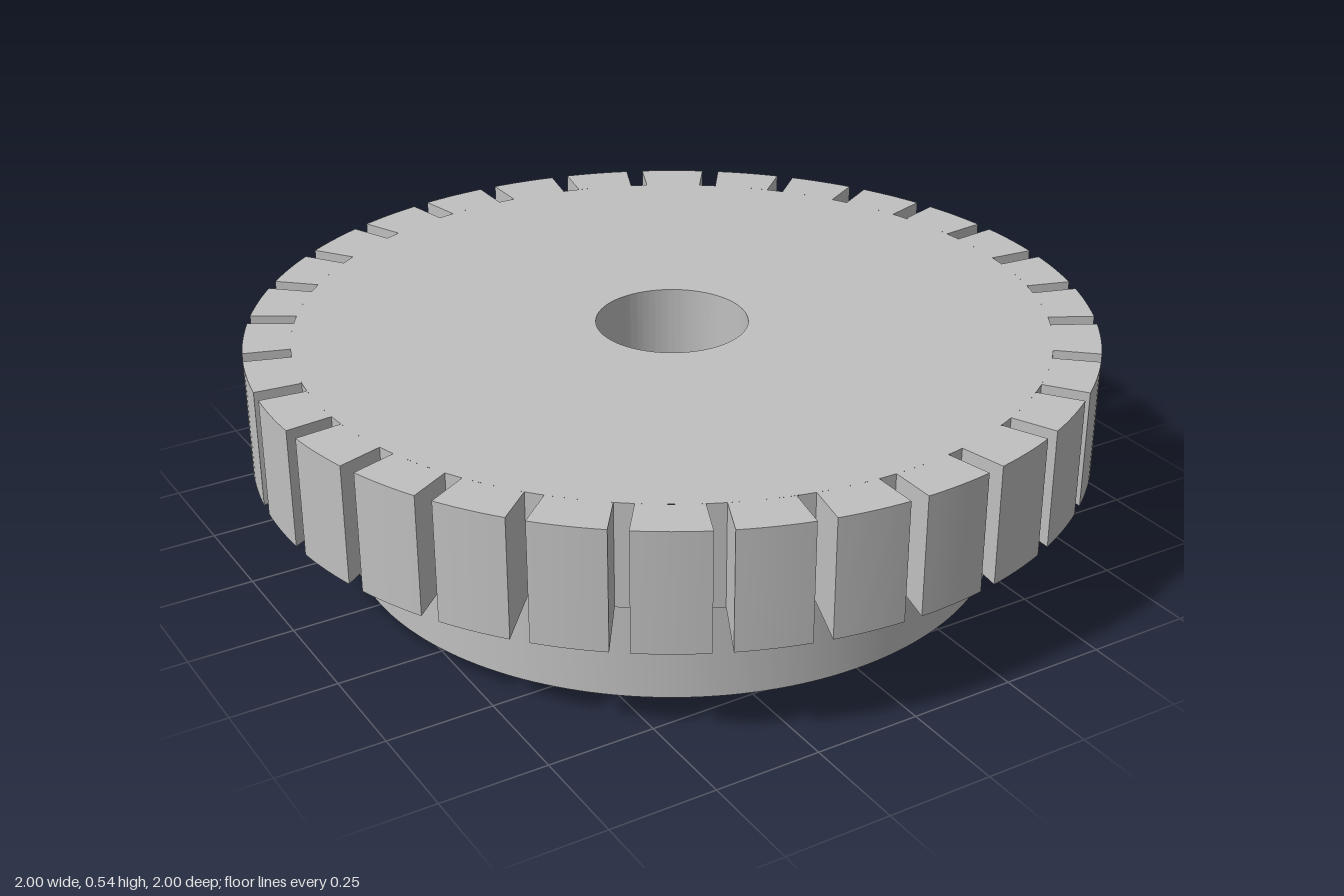
import * as THREE from 'three';
import { toCreasedNormals } from 'three/addons/utils/BufferGeometryUtils.js';

const TEETH = 30, PITCH = (Math.PI * 2) / TEETH, ARC_STEPS = 6;
const SLOT = 0.043, ROOT = 0.89, RIM = 1, TOP = 0.535, ROOT_Y = 0.289, RIM_Y = 0.25;

// Point at radius r, clockwise angle a from the back, height y
const at = (r, a, y) => [r * Math.sin(a), y, -r * Math.cos(a)];

function quadGeometry(quads) {
  const pos = [];
  for (const [a, b, c, d] of quads) pos.push(...a, ...b, ...c, ...a, ...c, ...d);
  const g = new THREE.BufferGeometry();
  g.setAttribute('position', new THREE.Float32BufferAttribute(pos, 3));
  return toCreasedNormals(g, 0.5);
}

// One tooth: open at the root, underside sloping down to the rim
function toothGeometry() {
  const q = [];
  const angle = (r, t) => THREE.MathUtils.lerp(Math.asin(SLOT / r), PITCH, t);
  const inner = (t, y) => at(ROOT, angle(ROOT, t), y);
  const outer = (t, y) => at(RIM, angle(RIM, t), y);
  for (let i = 0; i < ARC_STEPS; i++) {
    const s = i / ARC_STEPS, e = (i + 1) / ARC_STEPS;
    q.push([inner(s, TOP), inner(e, TOP), outer(e, TOP), outer(s, TOP)]);
    q.push([outer(e, RIM_Y), outer(s, RIM_Y), outer(s, TOP), outer(e, TOP)]);
    q.push([outer(s, RIM_Y), outer(e, RIM_Y), inner(e, ROOT_Y), inner(s, ROOT_Y)]);
  }
  q.push([outer(0, RIM_Y), inner(0, ROOT_Y), inner(0, TOP), outer(0, TOP)]);
  q.push([outer(1, TOP), inner(1, TOP), inner(1, ROOT_Y), outer(1, RIM_Y)]);
  return quadGeometry(q);
}

// Floor of one slot
function slotFloorGeometry() {
  const w = Math.asin(SLOT / ROOT);
  return quadGeometry([[at(ROOT, w, ROOT_Y), at(ROOT, 0, ROOT_Y), at(ROOT, 0, TOP), at(ROOT, w, TOP)]]);
}

export function createModel() {
  const model = new THREE.Group();
  model.name = 'slottedWheel';
  const grey = new THREE.MeshStandardMaterial({ color: 0xc0c0c0 });
  grey.name = 'grey';

  // Disc, centre bore and lower drum in one turned profile
  const profile = [[ROOT, TOP], [0.18, TOP], [0.18, 0], [0.785, 0], [0.785, 0.285], [ROOT, ROOT_Y]]
    .map(([x, y]) => new THREE.Vector2(x, y));
  const body = new THREE.Mesh(toCreasedNormals(new THREE.LatheGeometry(profile, 180), 0.5), grey);
  body.name = 'hubAndDisc';
  model.add(body);

  // Teeth and slots around the rim
  const rim = new THREE.Group();
  rim.name = 'toothedRim';
  const tooth = toothGeometry(), floor = slotFloorGeometry();
  for (let i = 0; i < TEETH; i++) {
    for (const [name, geometry] of [['tooth', tooth], ['slotFloor', floor]]) {
      const mesh = new THREE.Mesh(geometry, grey);
      mesh.name = name + (i + 1);
      mesh.rotation.y = -i * PITCH;
      rim.add(mesh);
    }
  }
  model.add(rim);
  return model;
}
